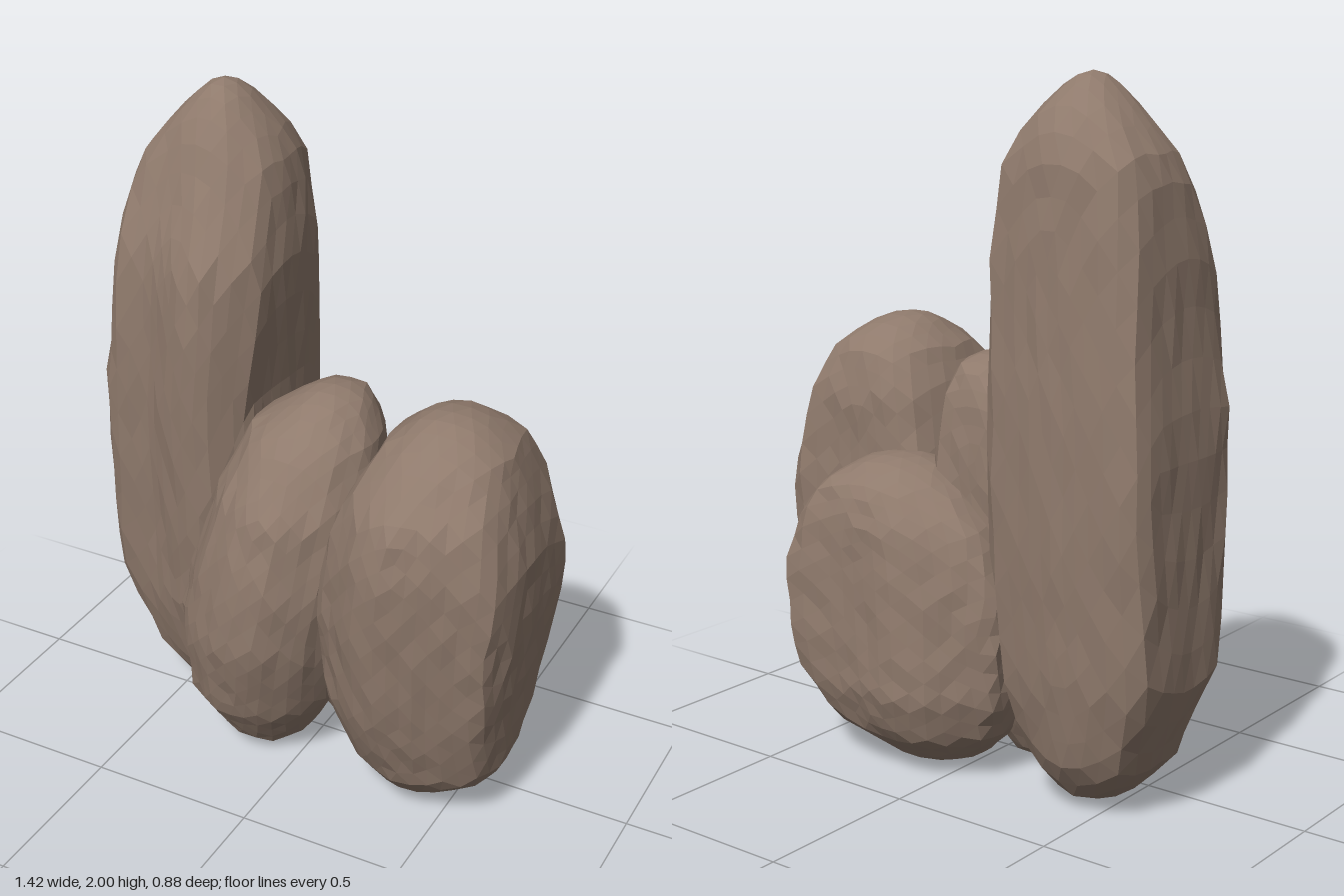
import * as THREE from 'three';
import { mergeVertices } from 'three/addons/utils/BufferGeometryUtils.js';

// Small seeded random generator
function seeded(seed) {
  let s = seed;
  return () => {
    s = (s * 16807) % 2147483647;
    return s / 2147483647;
  };
}

// Extents [left, right, back, front] of a rock at height y
function extentsAt(rows, y) {
  let i = 0;
  while (i < rows.length - 2 && y > rows[i + 1][0]) i++;
  const a = rows[i], b = rows[i + 1];
  const t = THREE.MathUtils.clamp((y - a[0]) / (b[0] - a[0]), 0, 1);
  return [1, 2, 3, 4].map((k) => a[k] + (b[k] - a[k]) * t);
}

// Moves and scales a plan outline so that it fills the square from -1 to 1
function toUnitSquare(plan) {
  const box = new THREE.Box2().setFromPoints(plan.map(([x, z]) => new THREE.Vector2(x, z)));
  const centre = box.getCenter(new THREE.Vector2()), size = box.getSize(new THREE.Vector2());
  return plan.map(([x, z]) => [(2 * (x - centre.x)) / size.x, (2 * (z - centre.y)) / size.y]);
}

// Distance from the middle of an outline to its edge in direction (c, s)
function reach(outline, c, s) {
  let best = 1e-6;
  outline.forEach(([ax, az], i) => {
    const [bx, bz] = outline[(i + 1) % outline.length];
    const ex = bx - ax, ez = bz - az;
    const det = ex * s - ez * c;
    if (Math.abs(det) < 1e-9) return;
    const along = (c * az - s * ax) / det;
    const distance = (ex * az - ez * ax) / det;
    if (along >= -1e-6 && along <= 1 + 1e-6 && distance > best) best = distance;
  });
  return best;
}

// A boulder: a ball reshaped to the extents in rows. Its cross-section is the
// cleaved plan around the middle and turns oval towards the top and bottom.
function makeRock({ rows, plan, seed }) {
  const random = seeded(seed);
  const ball = new THREE.IcosahedronGeometry(1, 7);
  ball.deleteAttribute('normal');
  ball.deleteAttribute('uv');
  const geometry = mergeVertices(ball, 1e-4);
  const outline = toUnitSquare(plan);
  const height = rows[rows.length - 1][0];
  const position = geometry.attributes.position;
  const p = new THREE.Vector3();
  for (let i = 0; i < position.count; i++) {
    p.fromBufferAttribute(position, i);
    const r = Math.hypot(p.x, p.z);
    const y = (height * (1 + p.y)) / 2;
    const [x0, x1, z0, z1] = extentsAt(rows, y);
    let ux = 0, uz = 0;
    if (r > 1e-4) {
      const c = p.x / r, s = p.z / r;
      const cleaved = 1 - Math.abs(p.y) ** 3;
      const rough = 1 + (random() - 0.5) * 0.035;
      const k = THREE.MathUtils.lerp(1, reach(outline, c, s), cleaved) * rough;
      ux = c * k;
      uz = s * k;
    }
    position.setXYZ(i, (x0 + x1 + ux * (x1 - x0)) / 2, y, (z0 + z1 + uz * (z1 - z0)) / 2);
  }
  geometry.computeVertexNormals();
  return geometry;
}

// Each row: height, left, right, back, front. Each plan point: x, z.
const rocks = {
  tallRock: {
    seed: 11,
    plan: [
      [-0.66, -0.38], [-0.4, -0.4], [-0.18, -0.38], [-0.15, -0.2], [-0.17, 0.07], [-0.28, 0.17],
      [-0.36, 0.18], [-0.52, 0.1], [-0.65, 0.1], [-0.7, 0.05], [-0.7, -0.35],
    ],
    rows: [
      [0, -0.46, -0.38, -0.16, -0.08],
      [0.03, -0.52, -0.32, -0.25, 0.0],
      [0.13, -0.62, -0.25, -0.33, 0.07],
      [0.38, -0.71, -0.2, -0.38, 0.14],
      [0.8, -0.705, -0.17, -0.395, 0.18],
      [1.1, -0.7, -0.18, -0.39, 0.19],
      [1.3, -0.67, -0.16, -0.38, 0.19],
      [1.52, -0.66, -0.15, -0.37, 0.17],
      [1.77, -0.63, -0.18, -0.35, 0.05],
      [1.88, -0.54, -0.24, -0.31, 0.0],
      [1.96, -0.46, -0.31, -0.23, -0.06],
      [2, -0.41, -0.36, -0.17, -0.11],
    ],
  },
  middleRock: {
    seed: 47,
    plan: [
      [-0.5, -1], [0.7, -1], [0.95, -0.3], [1, 0.3], [0.75, 0.72],
      [0.3, 1], [-0.2, 1], [-0.65, 0.72], [-1, 0.2], [-0.92, -0.6],
    ],
    rows: [
      [0, -0.2, -0.1, 0.02, 0.12],
      [0.03, -0.28, -0.02, -0.08, 0.2],
      [0.2, -0.4, 0.08, -0.17, 0.31],
      [0.45, -0.41, 0.15, -0.2, 0.37],
      [0.65, -0.36, 0.19, -0.2, 0.37],
      [0.9, -0.28, 0.205, -0.2, 0.33],
      [1.08, -0.2, 0.18, -0.18, 0.22],
      [1.17, -0.07, 0.12, -0.14, 0.1],
      [1.2, -0.01, 0.06, -0.06, 0.02],
    ],
  },
  rightRock: {
    seed: 83,
    plan: [
      [0.21, -0.18], [0.45, -0.18], [0.7, -0.19], [0.71, 0.2], [0.68, 0.33], [0.5, 0.4],
      [0.38, 0.44], [0.28, 0.41], [0.13, 0.3], [0.12, 0.1], [0.17, -0.1],
    ],
    rows: [
      [0, 0.33, 0.43, 0.02, 0.12],
      [0.05, 0.26, 0.53, -0.08, 0.22],
      [0.15, 0.17, 0.65, -0.14, 0.31],
      [0.35, 0.13, 0.67, -0.18, 0.39],
      [0.65, 0.12, 0.7, -0.19, 0.435],
      [0.88, 0.15, 0.705, -0.18, 0.445],
      [1.05, 0.2, 0.66, -0.175, 0.41],
      [1.18, 0.27, 0.61, -0.13, 0.28],
      [1.24, 0.35, 0.52, -0.04, 0.17],
      [1.26, 0.4, 0.47, 0.04, 0.12],
    ],
  },
  backRock: {
    seed: 131,
    plan: [
      [-0.17, -0.3], [0, -0.42], [0.1, -0.45], [0.3, -0.43], [0.52, -0.42],
      [0.55, -0.3], [0.55, -0.15], [0.4, 0.05], [0, 0.05], [-0.17, -0.1],
    ],
    rows: [
      [0, 0.06, 0.17, -0.2, -0.1],
      [0.03, -0.03, 0.26, -0.3, -0.02],
      [0.12, -0.12, 0.42, -0.4, 0.03],
      [0.25, -0.17, 0.5, -0.44, 0.07],
      [0.55, -0.17, 0.56, -0.425, 0.08],
      [0.72, -0.1, 0.53, -0.41, 0.05],
      [0.82, 0.02, 0.46, -0.38, 0.0],
      [0.88, 0.12, 0.36, -0.29, -0.08],
      [0.9, 0.2, 0.28, -0.22, -0.14],
    ],
  },
};

export function createModel() {
  const group = new THREE.Group();
  group.name = 'rockCluster';
  const stone = new THREE.MeshStandardMaterial({ color: 0x8f7a6c, flatShading: true });
  stone.name = 'brownStone';
  for (const [name, shape] of Object.entries(rocks)) {
    const mesh = new THREE.Mesh(makeRock(shape), stone);
    mesh.name = name;
    group.add(mesh);
  }
  return group;
}
